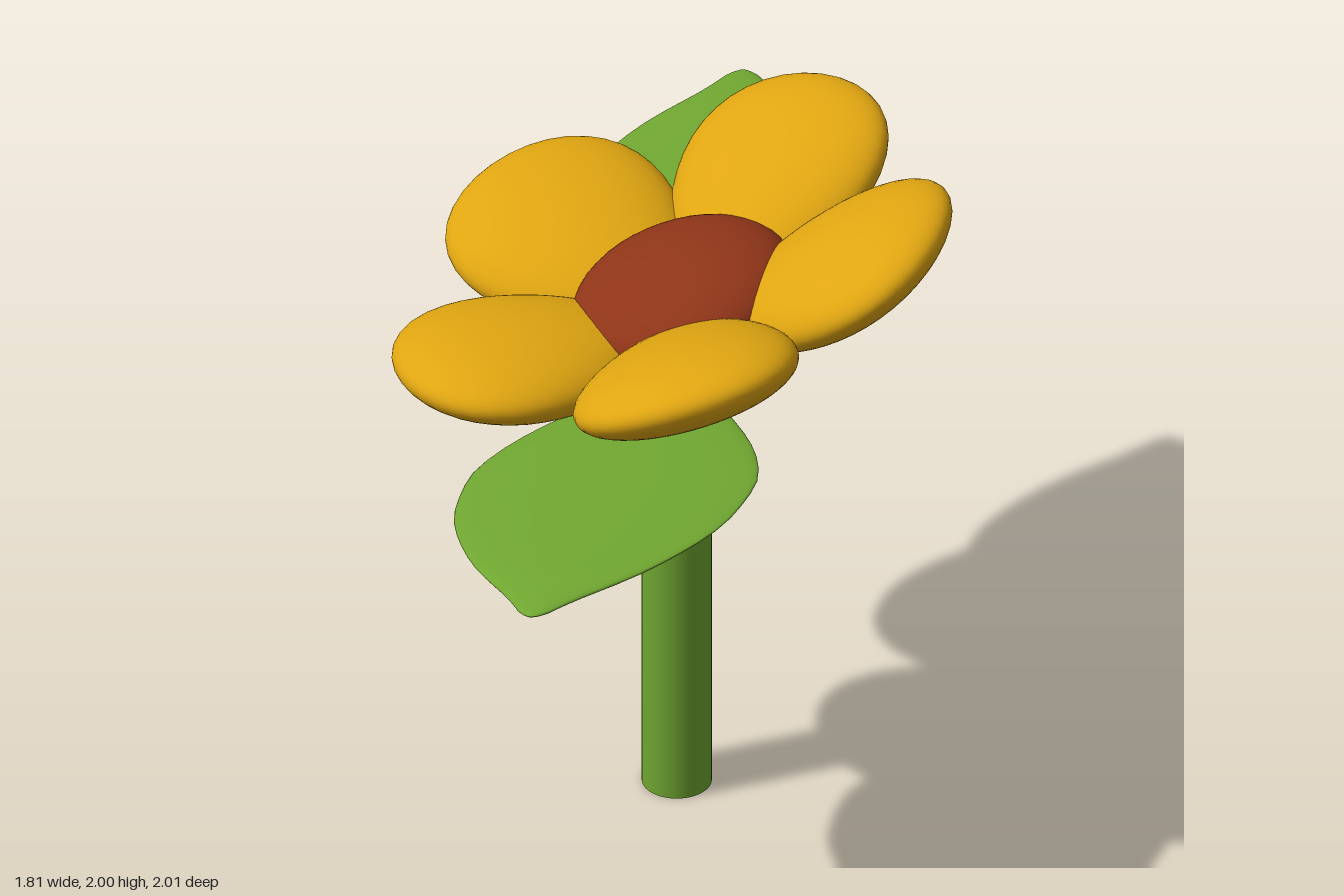
import * as THREE from 'three';
import { mergeVertices } from 'three/addons/utils/BufferGeometryUtils.js';

const material = (color) => new THREE.MeshStandardMaterial({ color });
const green = material(0x6fa530);
const yellow = material(0xdfa511);
const brown = material(0x8f3518);
green.side = THREE.DoubleSide;

// Unit sphere whose vertices are moved by a rule, with smooth normals
function shapedSphere(rule) {
  let geo = new THREE.SphereGeometry(1, 40, 32);
  geo.deleteAttribute('uv');
  geo.deleteAttribute('normal');
  geo = mergeVertices(geo, 1e-4);
  const p = geo.attributes.position;
  const v = new THREE.Vector3();
  for (let i = 0; i < p.count; i++) {
    rule(v.fromBufferAttribute(p, i));
    p.setXYZ(i, v.x, v.y, v.z);
  }
  geo.computeVertexNormals();
  return geo;
}

// Petal: flattened ellipsoid along +x, narrower towards the flower centre
function petalGeometry() {
  return shapedSphere((v) => {
    const taper = 1 + 0.25 * v.x;
    v.set(0.49 + 0.38 * v.x, 0.118 * v.y, 0.315 * v.z * taper);
  });
}

// Leaf: thin pointed blade running along +y from its base
const leafOutline = new THREE.SplineCurve([
  [0, 0.015], [0.15, 0.17], [0.3, 0.33], [0.42, 0.41], [0.52, 0.42],
  [0.65, 0.385], [0.8, 0.265], [0.93, 0.1], [1, 0.025],
].map(([t, w]) => new THREE.Vector2(t, w))).getPoints(120);

function leafWidth(t) {
  const i = leafOutline.findIndex((q) => q.x >= t);
  if (i < 1) return leafOutline[i < 0 ? leafOutline.length - 1 : 0].y;
  const a = leafOutline[i - 1], b = leafOutline[i];
  return THREE.MathUtils.lerp(a.y, b.y, (t - a.x) / (b.x - a.x));
}

function leafGeometry(length) {
  return shapedSphere((v) => {
    const t = (v.y + 1) / 2;
    const r = Math.hypot(v.x, v.z);
    const w = leafWidth(t);
    const round = Math.min(1, r * 4); // closes the blade at both ends
    const k = r > 1e-4 ? round / r : 0;
    v.set(w * k * v.x, length * t, 0.024 * Math.min(1, Math.sqrt(w / 0.2)) * k * v.z);
  });
}

// Places a leaf from base to tip; a and b are the blade's slopes along x and z
function makeLeaf(name, base, tip, a, b) {
  const axis = tip.clone().sub(base);
  axis.y = a * axis.x + b * axis.z;
  const mesh = new THREE.Mesh(leafGeometry(axis.length()), green);
  axis.normalize();
  const normal = new THREE.Vector3(-a, 1, -b).normalize();
  const side = new THREE.Vector3().crossVectors(axis, normal);
  mesh.quaternion.setFromRotationMatrix(new THREE.Matrix4().makeBasis(side, axis, normal));
  mesh.position.copy(base);
  mesh.name = name;
  return mesh;
}

export function createModel() {
  const model = new THREE.Group();
  model.name = 'flower';

  // Open-bottomed stem with a closed top
  const stem = new THREE.Group();
  stem.name = 'stem';
  const tube = new THREE.Mesh(new THREE.CylinderGeometry(0.097, 0.097, 1.42, 40, 1, true), green);
  tube.name = 'stemTube';
  tube.position.y = 0.71;
  const cap = new THREE.Mesh(new THREE.CircleGeometry(0.097, 40), green);
  cap.name = 'stemTop';
  cap.rotation.x = -Math.PI / 2;
  cap.position.y = 1.42;
  stem.add(tube, cap);
  stem.position.set(0.027, 0, -0.09);
  model.add(stem);

  // Two leaves near the top of the stem
  model.add(
    makeLeaf('frontLeaf', new THREE.Vector3(0.05, 1.385, -0.1), new THREE.Vector3(0.84, 0, 1.0), 0.14, -0.1),
    makeLeaf('backLeaf', new THREE.Vector3(0.04, 1.385, -0.1), new THREE.Vector3(-0.9, 0, -0.99), 0, -0.135),
  );

  // Tilted flower head
  const head = new THREE.Group();
  head.name = 'flowerHead';
  head.position.set(0.065, 1.482, -0.13);
  head.quaternion.setFromUnitVectors(
    new THREE.Vector3(0, 1, 0),
    new THREE.Vector3(-0.176, 1, 0.243).normalize(),
  );
  model.add(head);

  // Five cupped petals around the centre
  const petalGeo = petalGeometry();
  for (let i = 0; i < 5; i++) {
    const petal = new THREE.Mesh(petalGeo, yellow);
    petal.name = 'petal' + (i + 1);
    petal.rotation.set(0, -THREE.MathUtils.degToRad(33.5 + 72 * i), 0.32);
    head.add(petal);
  }

  // Domed centre
  const centre = new THREE.Mesh(new THREE.SphereGeometry(1, 40, 28), brown);
  centre.name = 'flowerCentre';
  centre.scale.set(0.32, 0.14, 0.32);
  centre.position.y = 0.13;
  head.add(centre);

  return model;
}
